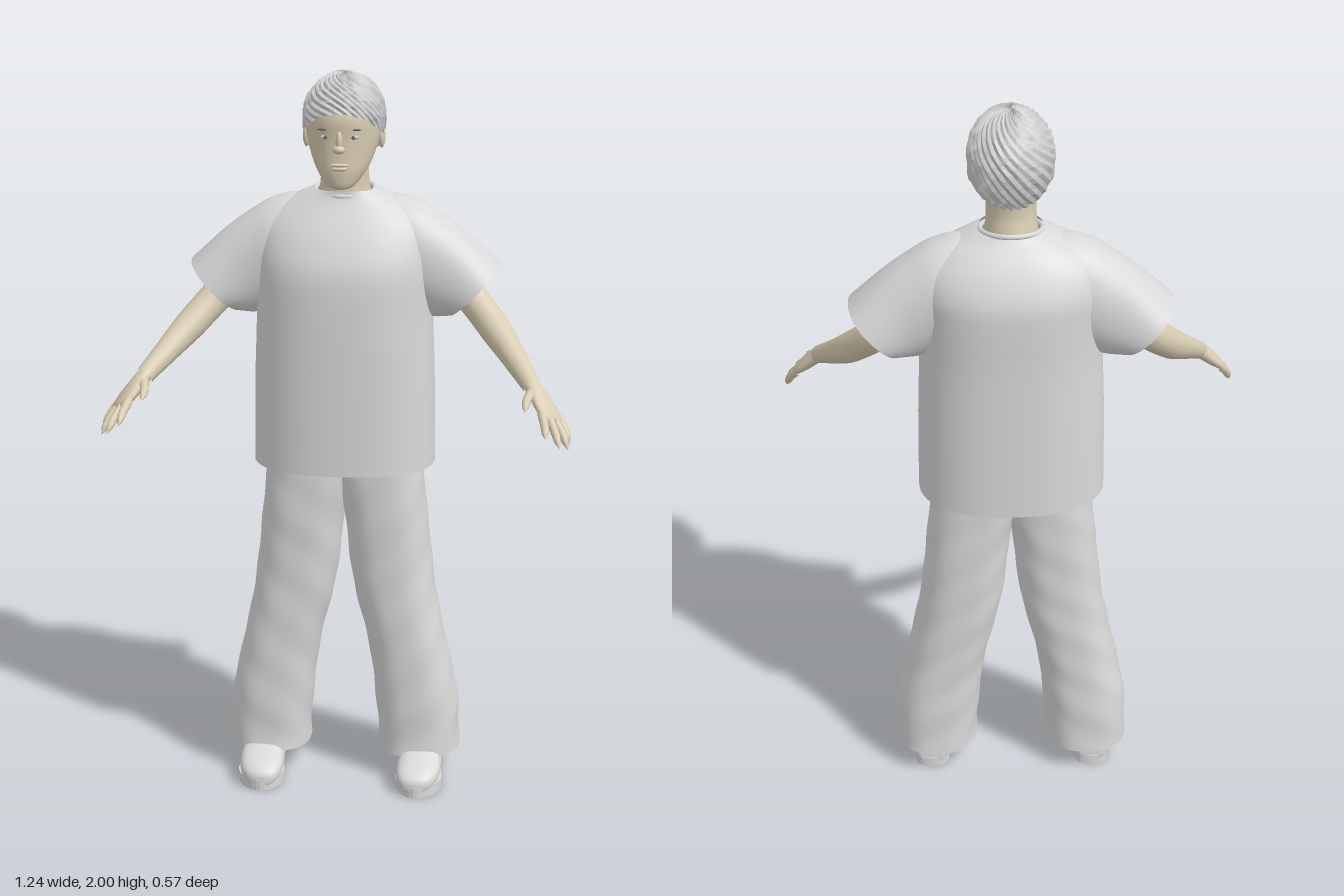
import * as THREE from 'three';
import { mergeVertices } from 'three/addons/utils/BufferGeometryUtils.js';

const V = (x, y, z) => new THREE.Vector3(x, y, z);
const mat = (name, color, side = THREE.FrontSide) => {
  const m = new THREE.MeshStandardMaterial({ color, side });
  m.name = name;
  return m;
};

// Catmull-Rom resampling of rows of numbers
function smooth(rows, k = 4) {
  const out = [], at = i => rows[Math.max(0, Math.min(rows.length - 1, i))];
  for (let i = 0; i < rows.length - 1; i++) {
    for (let s = 0; s < k; s++) {
      const t = s / k;
      out.push(rows[i].map((b, c) => {
        const a = at(i - 1)[c], d = at(i + 1)[c], e = at(i + 2)[c];
        return b + 0.5 * t * (d - a + t * (2 * a - 5 * b + 4 * d - e + t * (3 * (b - d) + e - a)));
      }));
    }
  }
  out.push(rows[rows.length - 1]);
  return out;
}

// Skin over superellipse rings {c, u, w}; rings advance along w x u
function loft(rings, { n = 2, seg = 40, start = false, end = false, ripple = 0 } = {}) {
  const pos = [], idx = [], pw = v => Math.sign(v) * Math.abs(v) ** (2 / n);
  rings.forEach(({ c, u, w }) => {
    for (let j = 0; j < seg; j++) {
      const t = j / seg * Math.PI * 2;
      const r = 1 + ripple * Math.sin(3 * t + c.y * 28) * Math.sin(c.y * 17 + t);
      const p = c.clone().addScaledVector(u, pw(Math.cos(t)) * r).addScaledVector(w, pw(Math.sin(t)) * r);
      pos.push(p.x, p.y, p.z);
    }
  });
  for (let i = 0; i < rings.length - 1; i++) {
    for (let j = 0; j < seg; j++) {
      const a = i * seg + j, b = i * seg + (j + 1) % seg;
      idx.push(a, a + seg, b, b, a + seg, b + seg);
    }
  }
  const cap = (i, flip) => {
    const m = pos.length / 3, c = rings[i].c;
    pos.push(c.x, c.y, c.z);
    for (let j = 0; j < seg; j++) {
      const a = i * seg + j, b = i * seg + (j + 1) % seg;
      if (flip) idx.push(m, a, b); else idx.push(m, b, a);
    }
  };
  if (start) cap(0, true);
  if (end) cap(rings.length - 1, false);
  const g = new THREE.BufferGeometry();
  g.setAttribute('position', new THREE.Float32BufferAttribute(pos, 3));
  g.setIndex(idx);
  g.computeVertexNormals();
  return g;
}

// Upright ring from extents: y, x min, x max, z front, z back
const upright = ([y, x0, x1, zf, zb]) => ({
  c: V((x0 + x1) / 2, y, (zf + zb) / 2), u: V((x1 - x0) / 2, 0, 0), w: V(0, 0, (zf - zb) / 2),
});
const symmetric = ([y, rx, zf, zb]) => upright([y, -rx, rx, zf, zb]);

// Tapered tube through points, radii spread evenly along its length
function limb(points, radii, seg = 16, steps = 24) {
  const curve = new THREE.CatmullRomCurve3(points.map(p => V(...p)));
  const g = new THREE.TubeGeometry(curve, steps, 1, seg);
  const p = g.attributes.position, uv = g.attributes.uv, q = V();
  for (let i = 0; i < p.count; i++) {
    const t = uv.getX(i), f = t * (radii.length - 1), k = Math.min(Math.floor(f), radii.length - 2);
    const c = curve.getPointAt(t);
    q.fromBufferAttribute(p, i).sub(c).multiplyScalar(THREE.MathUtils.lerp(radii[k], radii[k + 1], f - k)).add(c);
    p.setXYZ(i, q.x, q.y, q.z);
  }
  g.deleteAttribute('uv');
  g.deleteAttribute('normal');
  const m = mergeVertices(g, 1e-5);
  m.computeVertexNormals();
  return m;
}

function ball(x, y, z, rx, ry, rz) {
  return new THREE.SphereGeometry(1, 20, 14).scale(rx, ry, rz).translate(x, y, z);
}

function mirrored(geo) {
  const g = geo.index ? geo.clone() : mergeVertices(geo.clone());
  g.scale(-1, 1, 1);
  const a = g.index.array;
  for (let i = 0; i < a.length; i += 3) [a[i + 1], a[i + 2]] = [a[i + 2], a[i + 1]];
  return g;
}

// Cropped curly hair: lattice-bumped cap with a hairline that drops toward the nape
function hairGeometry() {
  const cols = 52, rows = 20, pos = [], idx = [];
  for (let i = 0; i <= rows; i++) {
    for (let j = 0; j < cols; j++) {
      const t = j / cols * Math.PI * 2, f = Math.sin(t);
      const low = f > 0 ? 1.835 + 0.07 * f ** 1.5 : 1.835 - 0.065 * Math.sqrt(-f);
      const dy = low - 1.88, ry = dy < 0 ? 0.15 : 0.12;
      const a = Math.acos(dy / ry) * i / rows;
      const noise = Math.abs(Math.sin(i * 12.99 + j * 78.23) * 437.58) % 1;
      const r = 0.975 + 0.03 * ((i + j) % 2) + 0.025 * noise;
      const y = Math.cos(a);
      pos.push(0.11 * r * Math.sin(a) * Math.cos(t), 1.88 + y * r * (y < 0 ? 0.15 : 0.118),
        -0.075 + 0.142 * r * Math.sin(a) * f);
    }
  }
  for (let i = 0; i < rows; i++) {
    for (let j = 0; j < cols; j++) {
      const a = i * cols + j, b = i * cols + (j + 1) % cols;
      idx.push(a, b, a + cols, b, b + cols, a + cols);
    }
  }
  const g = new THREE.BufferGeometry();
  g.setAttribute('position', new THREE.Float32BufferAttribute(pos, 3));
  g.setIndex(idx);
  const flat = g.toNonIndexed();
  flat.computeVertexNormals();
  return flat;
}

export function createModel() {
  const root = new THREE.Group();
  const cloth = mat('cloth', 0xd9d9d9, THREE.DoubleSide), skin = mat('skin', 0xd9cdb3);
  const hair = mat('hair', 0xcccccc, THREE.DoubleSide), shoe = mat('shoe', 0xdadada);
  const dark = mat('eye detail', 0x6b6358);
  const add = (name, geo, m) => {
    const mesh = new THREE.Mesh(geo, m);
    mesh.name = name;
    root.add(mesh);
  };
  const pair = (name, geo, m) => {
    add('left' + name, geo, m);
    add('right' + name, mirrored(geo), m);
  };

  // Shirt body, collar and sleeves
  add('shirtBody', loft(smooth([
    [0.93, 0.25, 0.095, -0.285], [1.15, 0.247, 0.095, -0.28], [1.35, 0.24, 0.094, -0.275],
    [1.47, 0.243, 0.088, -0.275], [1.54, 0.245, 0.065, -0.27], [1.6, 0.23, 0.033, -0.245],
    [1.645, 0.18, 0.005, -0.215], [1.675, 0.12, -0.01, -0.185], [1.69, 0.082, -0.012, -0.172],
  ]).map(symmetric), { n: 2.35, seg: 56 }), cloth);
  add('collar', new THREE.TorusGeometry(0.08, 0.007, 8, 40).rotateX(Math.PI / 2 + 0.12)
    .translate(0, 1.685, -0.093), cloth);
  // each row: top x, top y, bottom x, bottom y, half depth
  pair('Sleeve', loft(smooth([
    [0.06, 1.66, 0.06, 1.43, 0.08], [0.13, 1.672, 0.11, 1.4, 0.1], [0.2, 1.655, 0.16, 1.375, 0.11],
    [0.26, 1.62, 0.2, 1.355, 0.108], [0.33, 1.568, 0.24, 1.34, 0.108], [0.42, 1.485, 0.285, 1.345, 0.118],
  ]).map(([tx, ty, bx, by, d]) => ({
    c: V((tx + bx) / 2, (ty + by) / 2, -0.105), u: V((tx - bx) / 2, (ty - by) / 2, 0), w: V(0, 0, -d),
  })), { n: 2.2 }), cloth);

  // Wide trousers
  pair('TrouserLeg', loft(smooth([
    [0.075, 0.1, 0.33, 0.026, -0.226], [0.13, 0.1, 0.328, 0.022, -0.222], [0.22, 0.09, 0.325, 0.022, -0.22],
    [0.33, 0.078, 0.303, 0.02, -0.216], [0.43, 0.06, 0.28, 0.02, -0.218], [0.54, 0.033, 0.257, 0.02, -0.22],
    [0.65, 0.015, 0.243, 0.02, -0.22], [0.78, 0, 0.231, 0.022, -0.22], [0.93, -0.03, 0.216, 0.022, -0.22],
    [1.08, -0.04, 0.2, 0.02, -0.22],
  ], 5).map(upright), { n: 2.5, end: true, ripple: 0.018 }), cloth);

  // Shoes: upper and flat sole
  pair('ShoeUpper', loft(smooth([
    [-0.187, 0.025, 0.05, 0.232], [-0.175, 0.045, 0.085, 0.231], [-0.11, 0.05, 0.11, 0.229],
    [-0.02, 0.056, 0.112, 0.226], [0.04, 0.062, 0.088, 0.224], [0.09, 0.055, 0.072, 0.221],
    [0.118, 0.036, 0.055, 0.218], [0.127, 0.012, 0.04, 0.217],
  ]).map(([z, rx, h, x]) => ({
    c: V(x, (h + 0.012) / 2, z), u: V(0, (h - 0.012) / 2, 0), w: V(rx, 0, 0),
  })), { n: 2.5, start: true, end: true }), shoe);
  const outline = [[0.232, -0.19], [0.272, -0.175], [0.28, -0.1], [0.285, 0], [0.29, 0.05], [0.265, 0.105],
    [0.217, 0.13], [0.175, 0.1], [0.16, 0.05], [0.168, 0], [0.178, -0.1], [0.19, -0.175]];
  const pts = new THREE.CatmullRomCurve3(outline.map(([x, z]) => V(x, -z, 0)), true).getPoints(48).slice(0, -1);
  pair('Sole', new THREE.ExtrudeGeometry(new THREE.Shape(pts.map(p => new THREE.Vector2(p.x, p.y))),
    { depth: 0.03, bevelEnabled: false }).rotateX(-Math.PI / 2), shoe);

  // Arms, palms and fingers
  pair('Arm', limb([[0.22, 1.51, -0.13], [0.33, 1.405, -0.11], [0.42, 1.31, -0.03], [0.518, 1.205, 0.118]],
    [0.05, 0.048, 0.044, 0.042, 0.033, 0.025]), skin);
  const across = V(0.024, -0.013, -0.03), along = V(0.06, -0.075, 0.07);
  const thick = along.clone().cross(across).normalize();
  pair('Palm', loft(smooth([
    [0.503, 1.222, 0.1, 0.45, 0.018], [0.525, 1.198, 0.125, 0.7, 0.02], [0.552, 1.165, 0.155, 1.05, 0.018],
    [0.572, 1.14, 0.18, 1.1, 0.013], [0.578, 1.132, 0.188, 0.9, 0.006],
  ]).map(([x, y, z, w, t]) => ({
    c: V(x, y, z), u: thick.clone().multiplyScalar(t), w: across.clone().multiplyScalar(w),
  })), { seg: 20, start: true, end: true }), skin);
  const tips = [[0.557, 1.112, 0.28], [0.594, 1.082, 0.262], [0.616, 1.07, 0.228], [0.619, 1.073, 0.187]];
  tips.forEach((tip, i) => {
    const base = V(0.565, 1.147, 0.172).addScaledVector(across, -0.85 + i * 0.57);
    const mid = base.clone().lerp(V(...tip), 0.55).addScaledVector(thick, 0.004);
    pair('Finger' + (i + 1), limb([base.toArray(), mid.toArray(), tip],
      [0.011, 0.012, 0.011, 0.011, 0.009, 0.0005], 10, 15), skin);
  });
  pair('Thumb', limb([[0.522, 1.198, 0.125], [0.505, 1.187, 0.185], [0.503, 1.17, 0.237]],
    [0.016, 0.015, 0.012, 0.011, 0.009, 0.0005], 10, 15), skin);

  // Neck and head
  add('neck', loft(smooth([
    [1.62, 0.08, -0.015, -0.17], [1.69, 0.068, -0.02, -0.165], [1.74, 0.064, -0.02, -0.155],
    [1.82, 0.066, -0.02, -0.16],
  ]).map(symmetric)), skin);
  add('head', loft(smooth([
    [1.704, 0.016, 0.04, 0.01], [1.713, 0.037, 0.052, -0.025], [1.75, 0.066, 0.058, -0.09],
    [1.79, 0.084, 0.057, -0.135], [1.84, 0.098, 0.057, -0.17], [1.89, 0.101, 0.06, -0.19],
    [1.94, 0.09, 0.04, -0.17], [1.97, 0.06, 0, -0.13], [1.982, 0.015, -0.05, -0.09],
  ]).map(symmetric), { start: true, end: true, n: 2.1 }), skin);
  add('hair', hairGeometry(), hair);

  // Facial features
  add('noseBridge', ball(0, 1.832, 0.056, 0.009, 0.028, 0.011), skin);
  add('noseTip', ball(0, 1.812, 0.062, 0.016, 0.011, 0.014), skin);
  add('upperLip', ball(0, 1.771, 0.056, 0.025, 0.005, 0.008), skin);
  add('lowerLip', ball(0, 1.761, 0.056, 0.021, 0.006, 0.008), skin);
  pair('Ear', ball(0.1, 1.83, -0.065, 0.01, 0.03, 0.018), skin);
  pair('Eye', ball(0.037, 1.843, 0.047, 0.014, 0.006, 0.005), hair);
  pair('Iris', ball(0.036, 1.843, 0.05, 0.005, 0.005, 0.004), dark);
  pair('Eyebrow', ball(0.038, 1.863, 0.049, 0.02, 0.003, 0.004), dark);
  return root;
}
